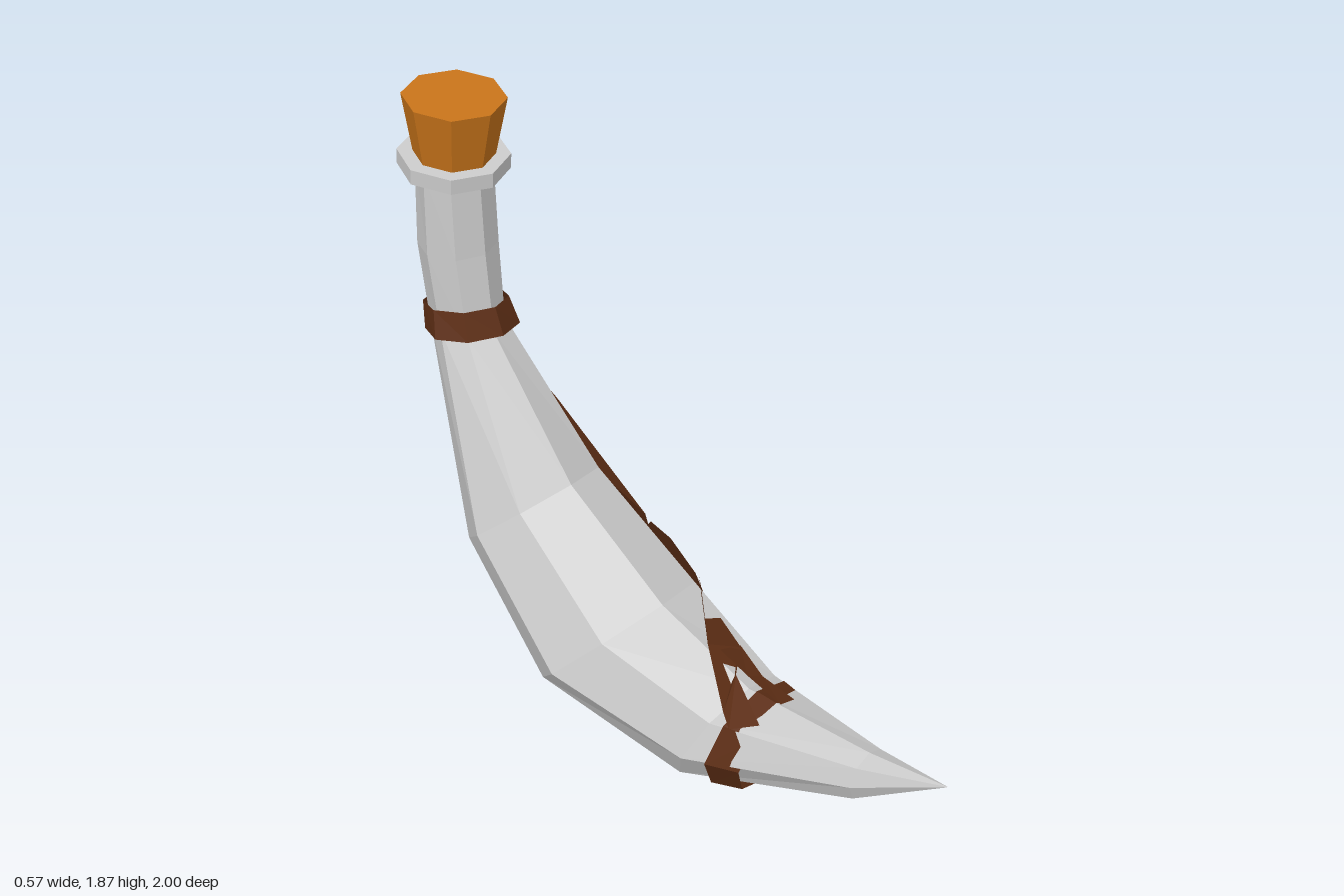
import * as THREE from 'three';

const SIDES = 8;
const mat = (color, side = THREE.FrontSide) =>
  new THREE.MeshStandardMaterial({ color, flatShading: true, side });

// Skin rows of points; closed rows wrap round.
function skin(rows, closed) {
  const n = rows[0].length;
  const index = [];
  for (let i = 0; i < rows.length - 1; i++) {
    for (let j = 0; j < (closed ? n : n - 1); j++) {
      const k = (j + 1) % n;
      const a = i * n + j, b = i * n + k, c = a + n, d = b + n;
      index.push(a, b, c, b, d, c);
    }
  }
  const g = new THREE.BufferGeometry();
  g.setAttribute('position', new THREE.Float32BufferAttribute(rows.flat(2), 3));
  g.setIndex(index);
  g.computeVertexNormals();
  return g;
}

// Octagonal ring: centre, direction of the upper corner, direction of the left corner.
function ring(c, up, left) {
  return Array.from({ length: SIDES }, (_, j) => {
    const a = (j / SIDES) * Math.PI * 2;
    return c.map((v, i) => v + up[i] * Math.cos(a) + left[i] * Math.sin(a));
  });
}

export function createModel() {
  const group = new THREE.Group();
  const grey = mat(0xcccccc);
  const leather = mat(0x5c2d14, THREE.DoubleSide);
  const cork = mat(0xc8741a);
  const add = (name, geometry, material) => {
    const m = new THREE.Mesh(geometry, material);
    m.name = name;
    group.add(m);
    return m;
  };

  // Curved horn: centre y, z; upper corner offset y, z; half width
  const sections = [
    [0.46, 1.0, 0.001, 0, 0.001],
    [0.333, 0.735, 0.083, 0.005, 0.075],
    [0.195, 0.22, 0.187, 0.08, 0.2],
    [0.3, -0.225, 0.2, 0.185, 0.28],
    [0.6, -0.58, 0.15, 0.17, 0.23],
    [1.16, -0.83, -0.01, 0.115, 0.107],
    [1.4, -0.848, 0, 0.117, 0.117],
    [1.665, -0.84, -0.01, 0.105, 0.115],
  ];
  add('horn', skin(sections.map(([y, z, uy, uz, w]) =>
    ring([0, y, z], [0, uy, uz], [w, 0, 0])), true), grey);

  // Lip and stopper share the slight tilt of the neck
  const lip = add('lip', new THREE.CylinderGeometry(0.16, 0.16, 0.045, SIDES), grey);
  lip.position.set(0, 1.668, -0.84);
  const stopper = add('stopper', new THREE.CylinderGeometry(0.147, 0.115, 0.185, SIDES), cork);
  stopper.position.set(0, 1.773, -0.829);
  lip.rotation.x = stopper.rotation.x = 0.09;

  // Leather bands round the neck and near the tip
  add('neckBand', skin([
    ring([0.01, 1.125, -0.82], [0, 0.02, 0.135], [0.145, -0.015, 0]),
    ring([0.01, 1.21, -0.842], [0, 0.02, 0.128], [0.125, -0.012, 0]),
  ], true), leather);
  add('tipBand', skin([
    ring([0, 0.23, 0.405], [0, 0.16, 0.035], [0.158, 0, 0]),
    ring([0, 0.215, 0.3], [0, 0.175, 0.03], [0.187, 0, 0]),
  ], true), leather);

  // Flat straps: pairs of edge points along each path
  add('rearStrap', skin([
    [[0.11, 1.15, -0.91], [0.08, 1.18, -0.965]],
    [[0.14, 1.08, -0.89], [0.12, 1.1, -0.97]],
    [[0.19, 0.95, -0.84], [0.18, 0.93, -0.91]],
    [[0.225, 0.82, -0.7], [0.23, 0.68, -0.7]],
    [[0.23, 0.56, -0.33], [0.262, 0.47, -0.34]],
  ], false), leather);
  add('frontStrap', skin([
    [[0.18, 0.49, -0.06], [0.215, 0.405, -0.08]],
    [[0, 0.455, 0.14], [0.1, 0.405, 0.18]],
    [[-0.12, 0.375, 0.31], [0, 0.405, 0.25]],
    [[-0.14, 0.35, 0.35], [-0.09, 0.375, 0.42]],
  ], false), leather);
  add('frontStrapBranch', skin([
    [[0.02, 0.44, 0.17], [0.11, 0.4, 0.17]],
    [[0.015, 0.41, 0.28], [0.06, 0.39, 0.3]],
    [[0, 0.395, 0.42], [0.06, 0.375, 0.42]],
  ], false), leather);

  // Octagonal leather patch lying on the left flank
  const outline = [[-0.08, 0.49], [-0.18, 0.57], [-0.29, 0.56], [-0.35, 0.49],
    [-0.335, 0.36], [-0.24, 0.3], [-0.14, 0.31], [-0.07, 0.41]];
  const onFlank = ([z, y]) => [0.287 - 0.24 * (z + 0.24) - 0.33 * (y - 0.3), y, z];
  add('patch', skin([outline.map(onFlank), outline.map(() => onFlank([-0.21, 0.435]))], true), leather);

  return group;
}
